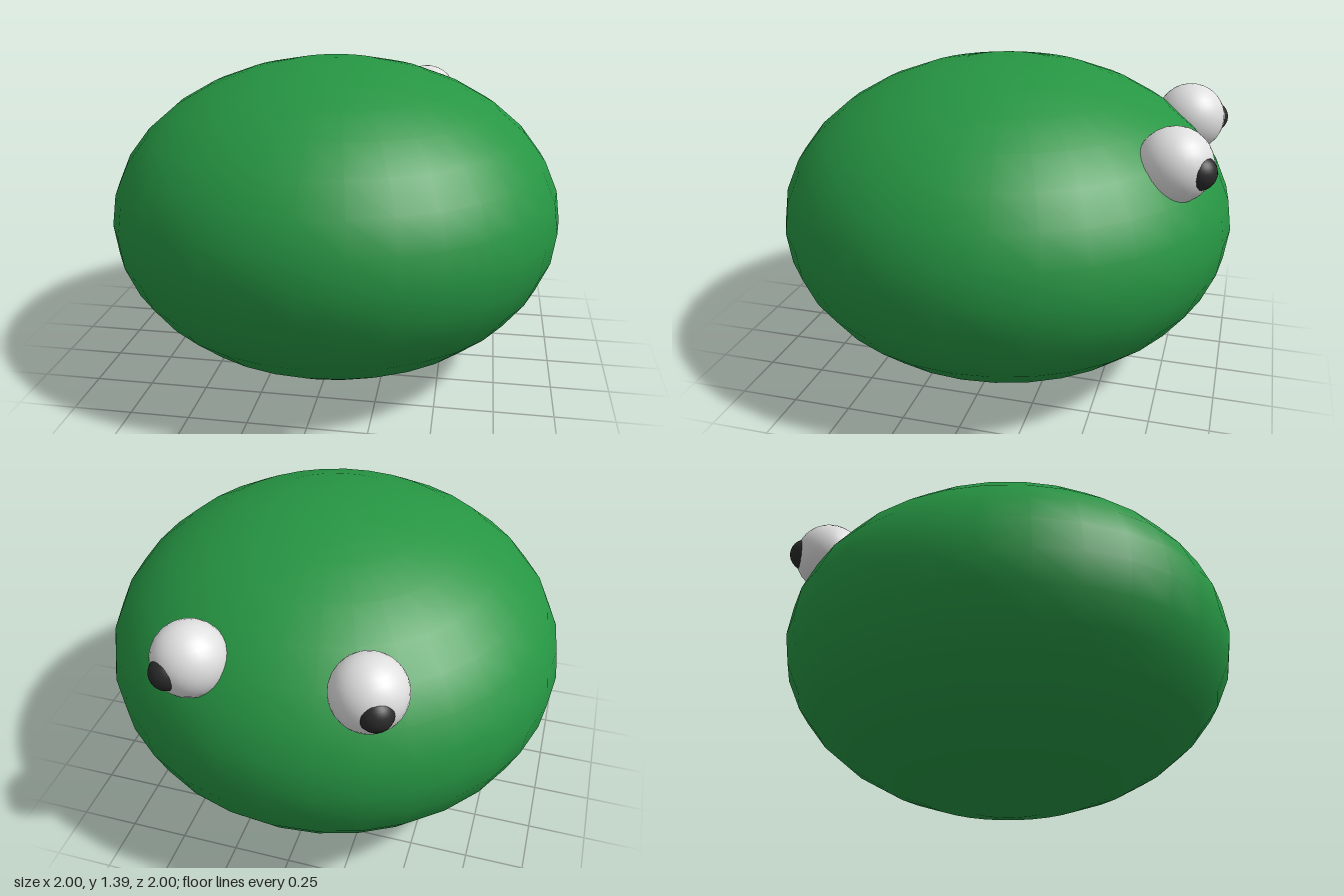
import * as THREE from 'three';

const skin = new THREE.MeshStandardMaterial({ name: 'green skin', color: 0x269643 });
const white = new THREE.MeshStandardMaterial({ name: 'eye white', color: 0xe0e0e0 });
const black = new THREE.MeshStandardMaterial({ name: 'pupil black', color: 0x2a2a2a });

function ball(name, radius, material, x, y, z) {
  const mesh = new THREE.Mesh(new THREE.SphereGeometry(radius, 32, 16), material);
  mesh.name = name;
  mesh.position.set(x, y, z);
  return mesh;
}

export function createModel() {
  const model = new THREE.Group();
  model.name = 'roundCreature';

  // Squashed round body
  const body = ball('body', 1, skin, 0, 0.695, 0);
  body.geometry.scale(1, 0.695, 1);
  model.add(body);

  // Pair of eyes with pupils turned outwards
  for (const side of [-1, 1]) {
    const eye = new THREE.Group();
    eye.name = side > 0 ? 'leftEye' : 'rightEye';
    eye.position.set(side * 0.35, 1.088, -0.772);
    eye.add(ball('eyeball', 0.152, white, 0, 0, 0));
    eye.add(ball('pupil', 0.07, black, side * 0.05, -0.006, -0.096));
    model.add(eye);
  }
  return model;
}
